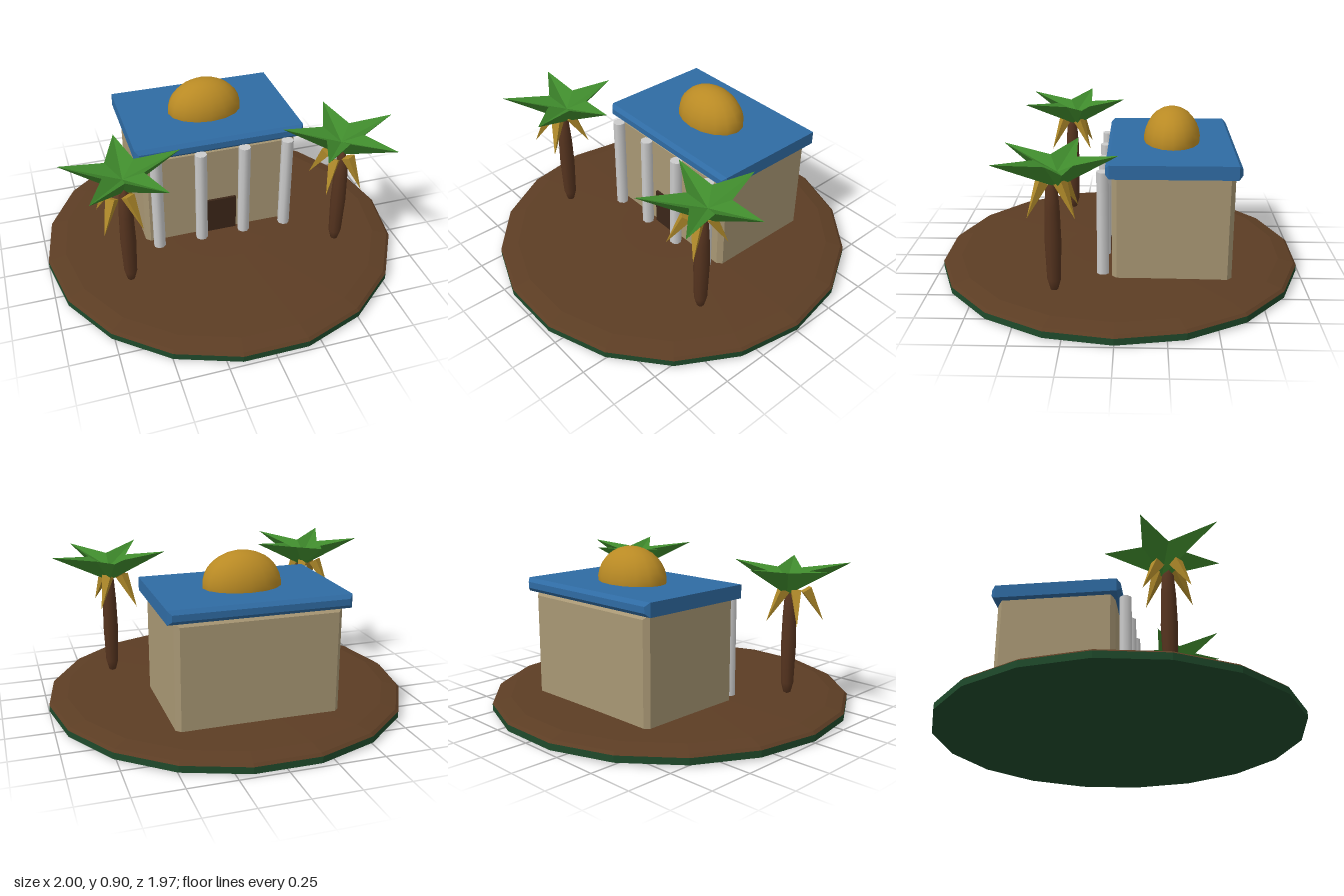
import * as THREE from 'three';

const mat = (color, flat = true) => new THREE.MeshStandardMaterial({ color, flatShading: flat });
const soil = mat(0x5c3d24);
const turf = mat(0x1f4a2b);
const stone = mat(0xa89774);
const roofBlue = mat(0x2f6ba3);
const gold = mat(0xb98a24, false);
const pillar = mat(0xcccccc, false);
const dark = mat(0x3b2618);
const bark = mat(0x56341f, false);
const leaf = mat(0x3f8a2c);
const dryLeaf = mat(0xb08a2a);

function add(parent, name, geometry, material, x = 0, y = 0, z = 0) {
  const mesh = new THREE.Mesh(geometry, material);
  mesh.name = name;
  mesh.position.set(x, y, z);
  parent.add(mesh);
  return mesh;
}

// Box with chamfered edges, centred on the origin
function chamferBox(w, h, d, c) {
  const x = w / 2 - c, y = h / 2 - c;
  const shape = new THREE.Shape([[-x, -y], [x, -y], [x, y], [-x, y]].map(p => new THREE.Vector2(...p)));
  const g = new THREE.ExtrudeGeometry(shape, {
    depth: d - 2 * c, bevelEnabled: true, bevelSegments: 1, bevelSize: c, bevelThickness: c,
  });
  return g.translate(0, 0, c - d / 2);
}

function lathe(points, sides, start = 0) {
  return new THREE.LatheGeometry(points.map(p => new THREE.Vector2(...p)), sides, start);
}

// Star of folded fronds: an outline of tips and notches joined to a low and a high centre
function crownGeometry(tips) {
  const rim = [];
  tips.forEach(([x, z], i) => {
    const [nx, nz] = tips[(i + 1) % tips.length];
    const a = Math.atan2(x + nx, z + nz);
    rim.push([x, 0.805, z], [0.115 * Math.sin(a), 0.775, 0.115 * Math.cos(a)]);
  });
  const upper = [0, 0.72, 0], lower = [0, 0.64, 0], pos = [];
  rim.forEach((p, i) => {
    const q = rim[(i + 1) % rim.length];
    pos.push(...upper, ...p, ...q, ...lower, ...q, ...p);
  });
  const g = new THREE.BufferGeometry();
  g.setAttribute('position', new THREE.Float32BufferAttribute(pos, 3));
  g.computeVertexNormals();
  return g;
}

function createPalm() {
  const palm = new THREE.Group();
  palm.name = 'palmTree';
  add(palm, 'trunk', lathe([[0, 0.085], [0.02, 0.095], [0.035, 0.15], [0.042, 0.36],
    [0.038, 0.52], [0.03, 0.64], [0, 0.68]], 10), bark);

  // Frond tips run counter-clockwise seen from above
  const tips = [[0.015, -0.295], [-0.305, -0.08], [-0.205, 0.285], [0.175, 0.295], [0.315, -0.055]];
  add(palm, 'fronds', crownGeometry(tips), leaf, 0, 0, 0.285 - 0.315);

  // Dry leaves hanging below the crown
  for (const sx of [-1, 1]) for (const sz of [-1, 1]) {
    const root = new THREE.Vector3(-0.03 + sx * 0.04, 0.67, sz * 0.045);
    const tip = new THREE.Vector3(-0.035 + sx * 0.1, 0.5, sz * 0.118);
    const dir = tip.clone().sub(root);
    const spike = add(palm, 'dryLeaf', new THREE.ConeGeometry(0.036, dir.length(), 4), dryLeaf);
    spike.position.copy(root).add(tip).multiplyScalar(0.5);
    spike.quaternion.setFromUnitVectors(new THREE.Vector3(0, 1, 0), dir.normalize());
  }
  return palm;
}

export function createModel() {
  const model = new THREE.Group();
  model.name = 'domedTemple';

  // Round island
  add(model, 'turfBase', lathe([[0, 0], [0.2, 0.003], [1, 0.01], [1, 0.045]], 18, Math.PI / 2), turf);
  add(model, 'ground', lathe([[1, 0.045], [0.985, 0.058], [0.9, 0.076], [0.3, 0.085], [0, 0.086]],
    18, Math.PI / 2), soil);

  // Building
  add(model, 'walls', chamferBox(0.88, 0.6, 0.63, 0.025), stone, 0, 0.345, -0.285);
  add(model, 'roof', chamferBox(0.955, 0.073, 0.69, 0.02), roofBlue, 0, 0.677, -0.283);
  add(model, 'door', new THREE.BoxGeometry(0.18, 0.24, 0.06), dark, 0, 0.18, 0.015);
  const dome = add(model, 'dome',
    new THREE.SphereGeometry(1, 16, 8, 0, Math.PI * 2, 0, Math.PI * 0.53), gold, 0, 0.722, -0.287);
  dome.scale.set(0.213, 0.178, 0.154);

  // Colonnade
  for (const x of [-0.375, -0.125, 0.125, 0.375]) {
    add(model, 'column', new THREE.CylinderGeometry(0.034, 0.034, 0.58, 8, 1), pillar, x, 0.36, 0.078)
      .rotation.y = Math.PI / 8;
  }

  // Palms
  for (const x of [-0.59, 0.597]) {
    const palm = createPalm();
    palm.position.set(x, 0, 0.315);
    model.add(palm);
  }
  return model;
}
